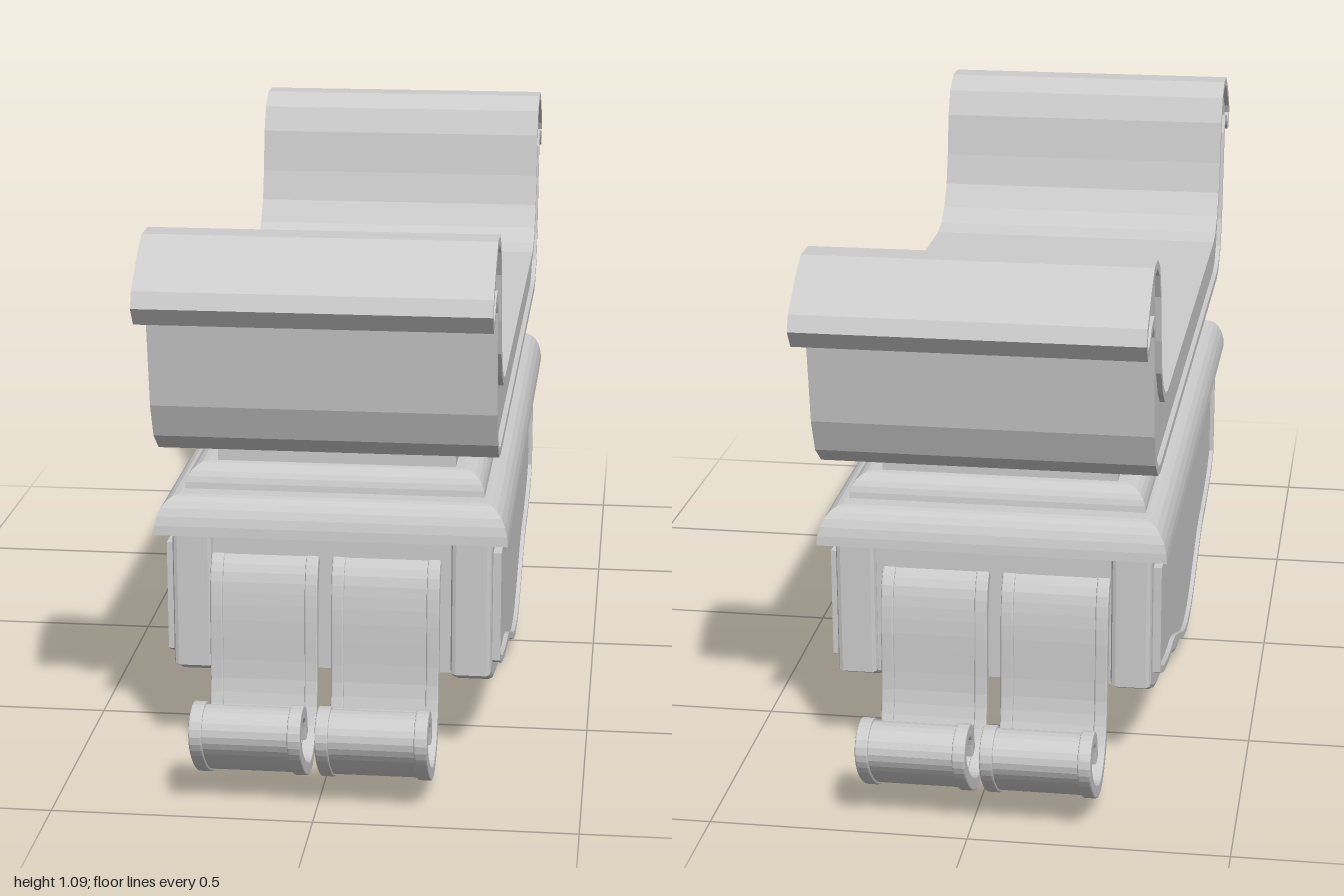
import * as THREE from 'three';

const grey = new THREE.MeshStandardMaterial({ color: 0xcccccc, side: THREE.DoubleSide });

const toShape = pts => new THREE.Shape(pts.map(p => new THREE.Vector2(p[0], p[1])));

// Completes a half outline with its mirror image across z = 0
const mirrorOutline = half => [...half, ...half.map(([z, y]) => [-z, y]).reverse()];

// Moves a closed outline inwards by d, with mitred corners
function inset(pts, d) {
  const sign = THREE.ShapeUtils.area(pts.map(p => ({ x: p[0], y: p[1] }))) > 0 ? 1 : -1;
  const normal = (a, b) => new THREE.Vector2(a[1] - b[1], b[0] - a[0]).normalize().multiplyScalar(sign);
  return pts.map((p, i) => {
    const n1 = normal(pts[(i + pts.length - 1) % pts.length], p);
    const n2 = normal(p, pts[(i + 1) % pts.length]);
    const m = n1.clone().add(n2).multiplyScalar(d / (1 + n1.dot(n2)));
    return [p[0] + m.x, p[1] + m.y];
  });
}

// Extrudes a (z, y) outline across x, centred on x = 0
function slab(name, outline, width, { hole, bevel = 0 } = {}) {
  const shape = toShape(outline);
  if (hole) shape.holes.push(toShape(hole));
  const depth = width - 2 * bevel;
  const geo = new THREE.ExtrudeGeometry(shape, {
    depth, bevelEnabled: bevel > 0, bevelSize: bevel, bevelOffset: -bevel,
    bevelThickness: bevel, bevelSegments: 2,
  });
  geo.translate(0, 0, -depth / 2).rotateY(-Math.PI / 2);
  const mesh = new THREE.Mesh(geo, grey);
  mesh.name = name;
  return mesh;
}

// Rectangular moulding lofted through rings of [half x, half z, y]
function moulding(name, rings) {
  const pos = [];
  const corners = ([x, z, y]) => [[x, y, z], [x, y, -z], [-x, y, -z], [-x, y, z]];
  const quad = (a, b, c, d) => pos.push(...a, ...b, ...c, ...a, ...c, ...d);
  for (let i = 0; i + 1 < rings.length; i++) {
    const lo = corners(rings[i]), hi = corners(rings[i + 1]);
    for (let k = 0; k < 4; k++) quad(lo[k], lo[(k + 1) % 4], hi[(k + 1) % 4], hi[k]);
  }
  const bottom = corners(rings[0]), top = corners(rings[rings.length - 1]);
  quad(...top);
  quad(...bottom.reverse());
  const geo = new THREE.BufferGeometry();
  geo.setAttribute('position', new THREE.Float32BufferAttribute(pos, 3));
  geo.computeVertexNormals();
  const mesh = new THREE.Mesh(geo, grey);
  mesh.name = name;
  return mesh;
}

// Rings for a convex quarter-round edge
function quarterRound(x, z, y, run, rise, steps = 6) {
  return Array.from({ length: steps + 1 }, (_, i) => {
    const a = (i / steps) * Math.PI / 2;
    const inward = run * (1 - Math.cos(a));
    return [x - inward, z - inward, y + rise * Math.sin(a)];
  });
}

// Closed outline of a strip of given thickness along a smooth path
function strip(path, thickness) {
  const curve = new THREE.SplineCurve(path.map(p => new THREE.Vector2(...p)));
  const left = [], right = [], n = 44;
  for (let i = 0; i <= n; i++) {
    const p = curve.getPoint(i / n), t = curve.getTangent(i / n), h = thickness / 2;
    left.push([p.x - t.y * h, p.y + t.x * h]);
    right.unshift([p.x + t.y * h, p.y - t.x * h]);
  }
  return [...left, ...right];
}

export function createModel() {
  const model = new THREE.Group();
  model.name = 'scrollBench';

  // Seat with rolled ends: rim around slightly recessed sides
  const seatOutline = mirrorOutline([
    [0.557, 0.765], [0.605, 0.777], [0.645, 0.805], [0.68, 0.853], [0.70, 0.92], [0.717, 1.013],
    [0.744, 1.067], [0.79, 1.096], [0.85, 1.096], [0.90, 1.067], [0.965, 1.015],
    [0.978, 0.985], [0.953, 0.95], [0.92, 0.955], [0.883, 0.98], [0.852, 0.985],
    [0.836, 0.96], [0.808, 0.757], [0.78, 0.69], [0.73, 0.652], [0.68, 0.642],
  ]);
  const seatInner = inset(seatOutline, 0.017);
  const seat = new THREE.Group();
  seat.name = 'seat';
  seat.add(slab('seatRim', seatOutline, 0.654, { hole: seatInner }));
  seat.add(slab('seatCore', seatInner, 0.634));
  seat.position.z = 0.01;
  model.add(seat);

  // Neck and stepped cornice
  const base = new THREE.Group();
  base.name = 'base';
  base.position.z = 0.008;
  base.add(moulding('neck', [[0.235, 0.592, 0.58], [0.235, 0.592, 0.65]]));
  base.add(moulding('upperCornice', quarterRound(0.295, 0.635, 0.54, 0.04, 0.047)));
  base.add(moulding('lowerCornice', quarterRound(0.345, 0.713, 0.467, 0.045, 0.073)));

  // Central block between the side boards
  base.add(moulding('centreBlock', [[0.236, 0.675, 0.19], [0.236, 0.675, 0.47]]));

  // Side boards with a wavy lower edge and a framed panel
  const wave = new THREE.SplineCurve([
    [0.687, 0.19], [0.59, 0.147], [0.46, 0.118], [0.35, 0.104],
    [0.25, 0.07], [0.14, 0.027], [0.06, 0.008], [0, 0.004],
  ].map(p => new THREE.Vector2(...p))).getPoints(24).map(p => [p.x, p.y]);
  const half = [[0.687, 0.467], ...wave];
  const boardOutline = [...half, ...half.slice(0, -1).map(([z, y]) => [-z, y]).reverse()];
  const frameOuter = inset(boardOutline, 0.034);
  const frameInner = inset(boardOutline, 0.048);
  for (const side of [-1, 1]) {
    const board = slab('sideBoard', boardOutline, 0.08, { bevel: 0.01 });
    board.position.x = side * 0.274;
    const frame = slab('panelFrame', frameOuter, 0.03, { hole: frameInner });
    frame.position.x = side * 0.315;
    const panel = slab('sidePanel', frameInner, 0.03);
    panel.position.x = side * 0.306;
    base.add(board, frame, panel);
  }
  model.add(base);

  // Paired scroll brackets at both ends, each a ribbon with thicker edges
  const path = [
    [0.685, 0.42], [0.708, 0.385], [0.718, 0.307], [0.721, 0.174], [0.743, 0.098],
    [0.78, 0.06], [0.834, 0.046], [0.90, 0.07], [0.958, 0.115], [0.985, 0.158],
    [0.973, 0.19], [0.936, 0.198], [0.902, 0.178], [0.888, 0.131],
  ];
  const ribbonOutline = strip(path, 0.016);
  const edgeOutline = strip(path, 0.026);
  for (const end of [0, Math.PI]) {
    for (const x of [-0.129, 0.109]) {
      const scroll = new THREE.Group();
      scroll.name = end ? 'backScroll' : 'frontScroll';
      scroll.add(slab('scrollRibbon', ribbonOutline, 0.19));
      for (const s of [-1, 1]) {
        const edge = slab('scrollEdge', edgeOutline, 0.025, { bevel: 0.003 });
        edge.position.x = s * 0.093;
        scroll.add(edge);
      }
      scroll.rotation.y = end;
      scroll.position.x = x;
      model.add(scroll);
    }
  }
  return model;
}
